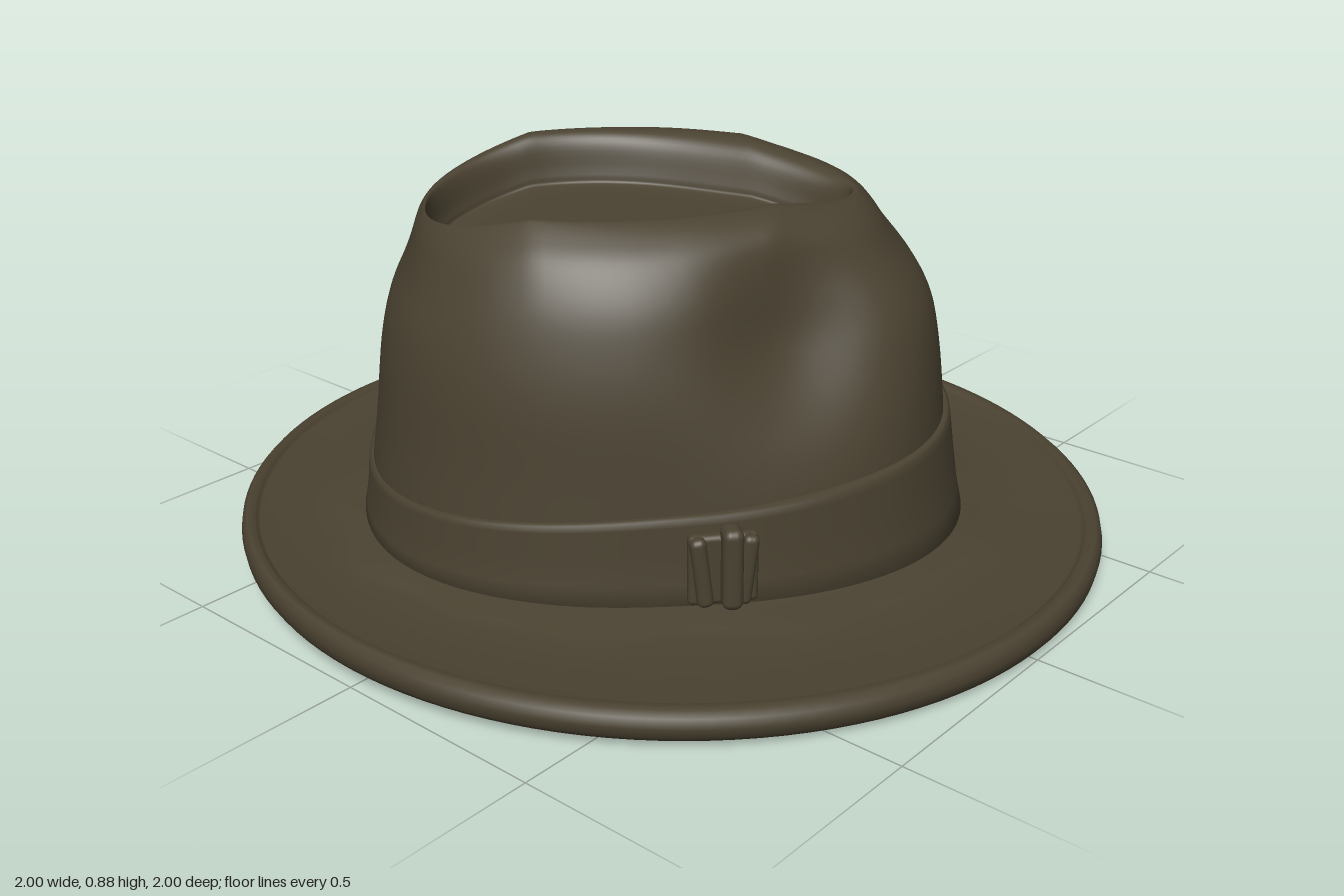
import * as THREE from 'three';
import { RoundedBoxGeometry } from 'three/addons/geometries/RoundedBoxGeometry.js';

const felt = new THREE.MeshStandardMaterial({ color: 0x4a4231, side: THREE.DoubleSide });
felt.name = 'olive felt';

const SEGMENTS = 128;
const lerp = THREE.MathUtils.lerp;
// Squared-off sine and cosine for the slightly boxy head oval
const boxy = v => Math.sign(v) * Math.pow(Math.abs(v), 2 / 2.4);
const ovalX = angle => boxy(Math.sin(angle));
const ovalZ = angle => boxy(Math.cos(angle));

// Smooth surface through closed rings; point(row, angle) returns a Vector3.
function ringSurface(rows, point) {
  const positions = [], index = [];
  for (let i = 0; i < rows; i++) {
    for (let j = 0; j < SEGMENTS; j++) {
      positions.push(...point(i, (j / SEGMENTS) * Math.PI * 2).toArray());
      if (i === rows - 1) continue;
      const a = i * SEGMENTS + j, b = i * SEGMENTS + (j + 1) % SEGMENTS;
      index.push(a, b, b + SEGMENTS, a, b + SEGMENTS, a + SEGMENTS);
    }
  }
  const geometry = new THREE.BufferGeometry();
  geometry.setAttribute('position', new THREE.Float32BufferAttribute(positions, 3));
  geometry.setIndex(index);
  geometry.computeVertexNormals();
  return geometry;
}

function part(name, geometry) {
  const mesh = new THREE.Mesh(geometry, felt);
  mesh.name = name;
  return mesh;
}

// Crown rings: height, half width, half length, centre z, blend to teardrop, teardrop scale
const CROWN = [
  [0.06, 0.575, 0.675, -0.035, 0, 1],
  [0.20, 0.570, 0.668, -0.035, 0, 1],
  [0.34, 0.560, 0.655, -0.03, 0, 1],
  [0.50, 0.548, 0.637, -0.03, 0, 1],
  [0.62, 0.528, 0.612, -0.03, 0, 1],
  [0.72, 0.500, 0.578, -0.035, 0, 1],
  [0.80, 0.455, 0.540, -0.05, 0, 1],
  [0.845, 0.405, 0.515, -0.06, 0, 1],
  [0.867, 0.380, 0.500, -0.065, 0.3, 1],
  [0.868, 0.370, 0.490, -0.07, 0.65, 1],
  [0.84, 0.360, 0.480, -0.075, 0.9, 1],
  [0.775, 0.350, 0.475, -0.075, 1, 0.98],
  [0.752, 0.350, 0.475, -0.075, 1, 0.92],
  [0.746, 0.350, 0.475, -0.075, 1, 0.5],
  [0.744, 0.350, 0.475, -0.075, 1, 0],
];

function buildCrown() {
  const steps = 5, last = CROWN.length - 1;
  const spline = new THREE.CubicInterpolant(CROWN.map((_, i) => i), CROWN.flat(), 6);
  return ringSurface(last * steps + 1, (i, angle) => {
    const [y, a, b, cz, blend, scale] = spline.evaluate(i / steps);
    // teardrop with its tip at the front
    const tx = -0.015 + scale * 0.365 * Math.sin(angle) * Math.pow(Math.abs(Math.sin(angle / 2)), 0.6);
    const tz = -0.075 + scale * 0.475 * Math.cos(angle);
    const p = new THREE.Vector3(
      lerp(0.015 + a * ovalX(angle), tx, blend), y,
      lerp(cz + b * ovalZ(angle), tz, blend));
    // uneven rim: one side higher, the back and the tip lower
    const top = THREE.MathUtils.smoothstep(y, 0.55, 0.85);
    p.y += top * (0.03 * p.x - 0.28 * Math.max(0, -p.z - 0.32) - 0.22 * Math.max(0, p.z - 0.2));
    // finger pinches either side of the front
    for (const side of [-1, 1]) {
      const dx = p.x - side * 0.43, dy = p.y - 0.63, dz = p.z - 0.25;
      const w = 0.11 * Math.exp(-(dx * dx + dy * dy * 0.9 + dz * dz) / 0.04);
      p.x -= side * 0.9 * w;
      p.z -= 0.35 * w;
      p.y -= 0.15 * w;
    }
    return p;
  });
}

// Brim section from the opening, out along the underside, round the lip and back:
// blend from opening to outer edge, height, waviness
const BRIM = [
  [0, 0.085, 0], [0.01, 0.05, 0], [0.22, 0.044, 0.4], [0.26, 0.034, 0.4], [0.6, 0.026, 0], [0.9, 0.024, 0],
  [0.96, 0.03, 0], [0.988, 0.044, 0], [1, 0.065, 0], [0.988, 0.086, 0],
  [0.955, 0.097, 0], [0.9, 0.097, 0], [0.885, 0.088, 0], [0.86, 0.085, 0],
  [0.6, 0.076, 0], [0.33, 0.072, 1], [0.29, 0.084, 1], [0.1, 0.088, 0], [0, 0.10, 0],
];

function buildBrim() {
  return ringSurface(BRIM.length, (i, angle) => {
    const [k0, y, wave] = BRIM[i];
    const k = k0 + wave * 0.025 * (Math.sin(9 * angle) + Math.sin(14 * angle + 1));
    const x = lerp(0.015 + 0.565 * ovalX(angle), 0.99 * Math.sin(angle), k);
    const z = lerp(-0.035 + 0.665 * ovalZ(angle), 1.01 * Math.cos(angle), k);
    return new THREE.Vector3(x, y + 0.012 * x - 0.018 * z, z);
  });
}

// Ribbon section: fraction of height, distance out from the crown
const RIBBON = [[0, 0.0], [0.02, 0.022], [0.25, 0.017], [0.6, 0.015], [0.9, 0.015], [0.98, 0.014], [1, 0.008], [1, -0.015]];

function buildRibbon() {
  return ringSurface(RIBBON.length, (i, angle) => {
    const [f, out] = RIBBON[i];
    const c = Math.cos(angle), y = lerp(0.085, 0.285 + 0.055 * c, f);
    const h = (y - 0.06) / 0.28;
    const flare = 0.02 * (1 - f) * Math.max(0, c);
    return new THREE.Vector3(
      0.015 + (lerp(0.575, 0.56, h) + out) * ovalX(angle), y,
      lerp(-0.035, -0.03, h) + (lerp(0.675, 0.655, h) + out + flare) * ovalZ(angle));
  });
}

// Flat ribbon bow with pleats and a knot strap
function buildBow(side) {
  const bow = new THREE.Group();
  bow.name = side > 0 ? 'leftBow' : 'rightBow';
  const add = (name, w, h, d, x, y, z, tilt = 0) => {
    const mesh = part(name, new RoundedBoxGeometry(w, h, d, 3, Math.min(w, h, d) * 0.4));
    mesh.position.set(x, y, z);
    mesh.rotation.z = tilt;
    bow.add(mesh);
  };
  add('bowBacking', 0.15, 0.16, 0.03, 0, -0.005, 0.005);
  add('bowKnot', 0.045, 0.185, 0.06, 0.015, 0.005, 0.025);
  for (const s of [-1, 1]) add('bowPleat', 0.035, 0.16, 0.035, s * 0.048, -0.005, 0.02, s * -0.12);
  bow.position.set(0.015 + side * 0.593, 0.185, side > 0 ? 0.13 : 0.06);
  bow.rotation.y = side * (Math.PI / 2 - 0.1);
  return bow;
}

export function createModel() {
  const model = new THREE.Group();
  model.name = 'feltHat';
  const hat = new THREE.Group();
  hat.name = 'hat';
  hat.rotation.y = Math.PI / 4;
  model.add(hat);

  hat.add(part('crown', buildCrown()), part('brim', buildBrim()), part('ribbon', buildRibbon()));
  hat.add(buildBow(1), buildBow(-1));

  // Domed button at the back of the ribbon
  const button = part('button', new THREE.SphereGeometry(0.055, 24, 16));
  button.scale.z = 0.45;
  button.position.set(0.49, 0.17, -0.515);
  button.rotation.y = Math.PI - 0.75;
  hat.add(button);
  return model;
}
